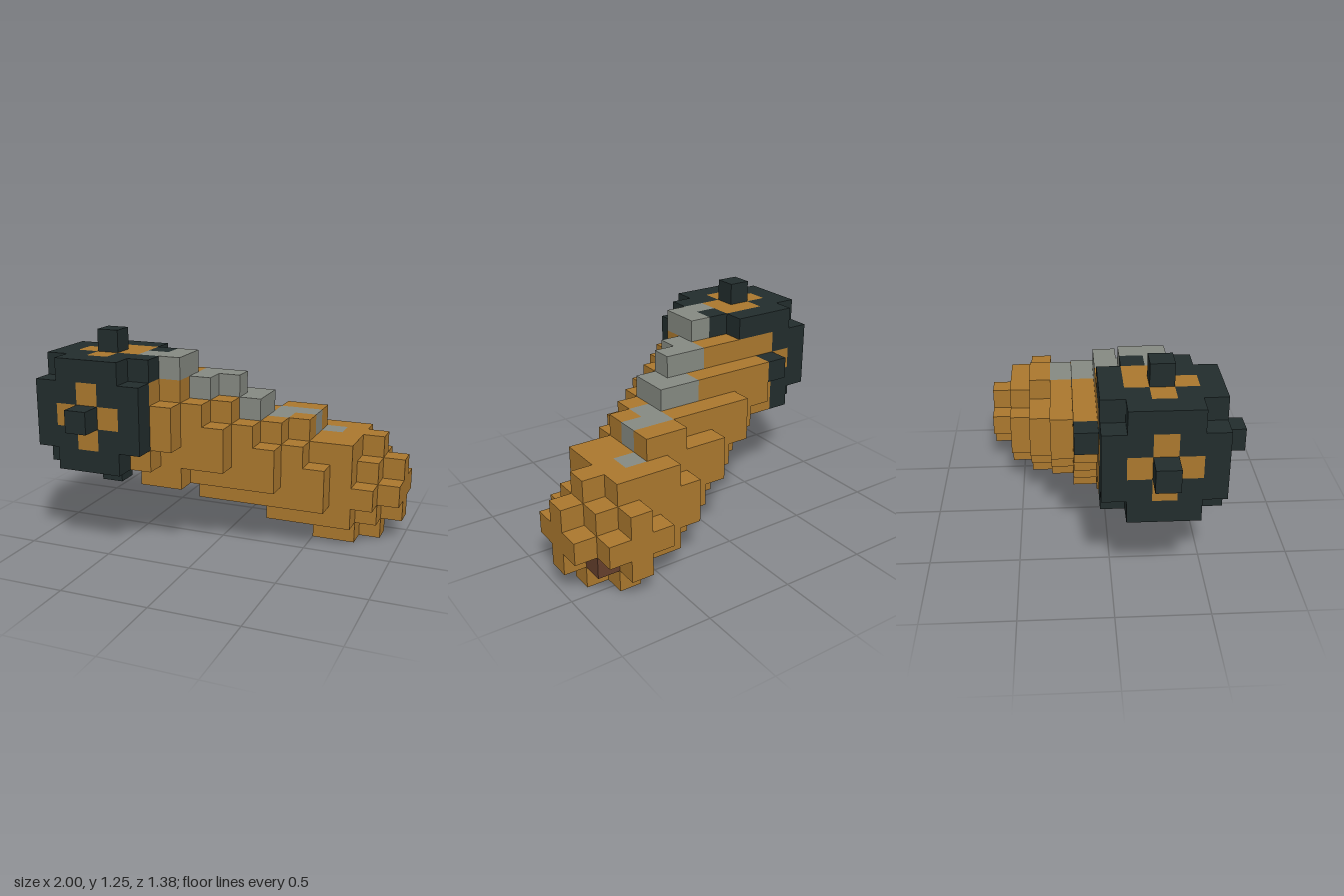
import * as THREE from 'three';
import { mergeGeometries } from 'three/addons/utils/BufferGeometryUtils.js';

const S = 0.125; // block size
const material = (name, color) => {
  const m = new THREE.MeshStandardMaterial({ color });
  m.name = name;
  return m;
};

// The six sides of a block: grid step and the turn that aims a +z plane that way
const H = Math.PI / 2;
const SIDES = [
  { d: [1, 0, 0], rot: [0, H] }, { d: [-1, 0, 0], rot: [0, -H] },
  { d: [0, 1, 0], rot: [-H, 0] }, { d: [0, -1, 0], rot: [H, 0] },
  { d: [0, 0, 1], rot: [0, 0] }, { d: [0, 0, -1], rot: [0, 2 * H] },
].map(({ d, rot }) => ({
  d,
  plane: new THREE.PlaneGeometry(S, S).rotateX(rot[0]).rotateY(rot[1])
    .translate(d[0] * S / 2, d[1] * S / 2, d[2] * S / 2),
}));

const key = (i, j, k) => `${i},${j},${k}`;

export function createModel() {
  const parts = {
    handle: material('ochre', 0xab782e),
    pommelCage: material('charcoal', 0x222d2d),
    pommelStuds: null,
    topStrip: material('grey', 0x868a82),
    tipSocket: material('brown', 0x66402d),
  };
  parts.pommelStuds = parts.pommelCage;

  const cells = new Map();
  const put = (part, i, j, k) => cells.set(key(i, j, k), { part, p: [i, j, k] });

  // Handle axis, in grid cells
  const A = new THREE.Vector3(3, 6, 7);
  const B = new THREE.Vector3(13, 2, 2);
  const axis = new THREE.Line3(A, B);
  const near = new THREE.Vector3();

  // Studs on the six sides of the pommel
  for (const { d } of SIDES) put('pommelStuds', A.x + 3 * d[0], A.y + 3 * d[1], A.z + 3 * d[2]);

  // Pommel: a 5 x 5 x 5 block without its corners
  for (let i = -2; i <= 2; i++) for (let j = -2; j <= 2; j++) for (let k = -2; k <= 2; k++)
    if (i * i + j * j + k * k < 12) put('pommelCage', A.x + i, A.y + j, A.z + k);

  // Handle: a round-ended rod that shows through the pommel cage
  const q = new THREE.Vector3();
  for (let i = 0; i < 16; i++) for (let j = 0; j < 10; j++) for (let k = 0; k < 11; k++) {
    axis.closestPointToPoint(q.set(i, j, k), true, near);
    if (q.distanceTo(near) <= 2.4) put('handle', i, j, k);
  }

  // Stepped strip along the top, and the socket at the tip
  for (const c of [
    [5, 8, 7], [6, 8, 7], [6, 8, 6], [7, 7, 6], [7, 7, 5], [8, 7, 5], [9, 6, 5],
    [8, 6, 4], [9, 6, 4], [10, 5, 4], [10, 5, 3], [11, 5, 3], [12, 4, 2],
  ]) put('topStrip', ...c);
  put('tipSocket', 14, 1, 1);

  // One mesh for each part, from the exposed block faces only
  const group = new THREE.Group();
  group.name = 'blockClub';
  for (const [name, mat] of Object.entries(parts)) {
    const faces = [];
    for (const { part, p: [i, j, k] } of cells.values()) {
      if (part !== name) continue;
      for (const { d, plane } of SIDES) {
        if (cells.has(key(i + d[0], j + d[1], k + d[2]))) continue;
        faces.push(plane.clone().translate((i - 7.5) * S, (j + 0.5) * S, (k - 5) * S));
      }
    }
    const mesh = new THREE.Mesh(mergeGeometries(faces), mat);
    mesh.name = name;
    group.add(mesh);
  }
  return group;
}
